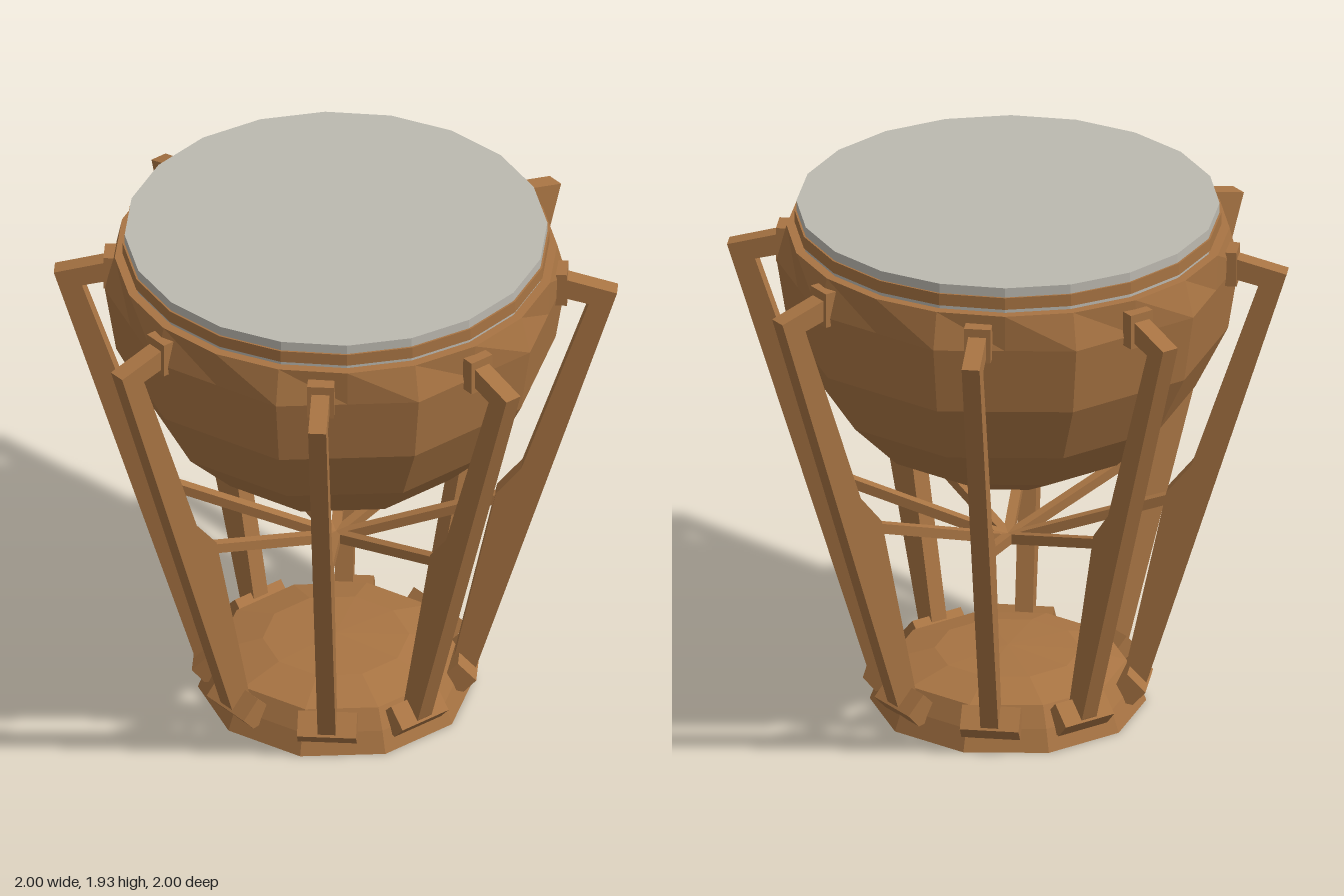
import * as THREE from 'three';

const wood = new THREE.MeshStandardMaterial({ color: 0xa87443, flatShading: true });
wood.name = 'wood';
const skin = new THREE.MeshStandardMaterial({ color: 0xbcb9b0, flatShading: true });
skin.name = 'drum skin';

const pts = (list) => list.map(([x, y]) => new THREE.Vector2(x, y));

function part(name, geometry, material = wood) {
  const mesh = new THREE.Mesh(geometry, material);
  mesh.name = name;
  return mesh;
}

// Ten-sided turned form with a corner on the x axis
function turned(profile) {
  return new THREE.LatheGeometry(pts(profile), 10).rotateY(Math.PI / 2);
}

// Outline in the radial (x, y) plane, given an even thickness in z
function slab(outline, width) {
  const g = new THREE.ExtrudeGeometry(new THREE.Shape(pts(outline)), { depth: width, bevelEnabled: false });
  return g.translate(0, 0, -width / 2);
}

// Faceted hemisphere
function bowlGeometry() {
  const profile = [];
  for (let i = 0; i <= 5; i++) {
    const a = (i * Math.PI) / 10;
    profile.push([0.82 * Math.sin(a), 1.7 - 0.82 * Math.cos(a)]);
  }
  return turned(profile);
}

// Collar that blends the ten-sided bowl into the twenty-sided rim
function collarGeometry() {
  const profile = pts([[0.82, 1.7], [0.785, 1.835], [0.73, 1.835]]);
  const g = new THREE.LatheGeometry(profile, 20);
  const p = g.attributes.position;
  const k = Math.cos(Math.PI / 10);
  for (let i = 0; i <= 20; i += 2) {
    const v = i * profile.length;
    p.setX(v, p.getX(v) * k);
    p.setZ(v, p.getZ(v) * k);
  }
  g.computeVertexNormals();
  return g;
}

export function createModel() {
  const model = new THREE.Group();
  model.name = 'kettledrum';

  // Drum body
  model.add(part('bowl', bowlGeometry()));
  model.add(part('collar', collarGeometry()));
  model.add(part('drumhead', new THREE.CylinderGeometry(0.75, 0.75, 0.1, 20).translate(0, 1.88, 0), skin));
  model.add(part('hoop', new THREE.CylinderGeometry(0.757, 0.757, 0.045, 20).translate(0, 1.872, 0)));

  // Hollow domed base
  model.add(part('base', turned([
    [0, 0.17], [0.25, 0.155], [0.36, 0.11], [0.38, 0], [0.49, 0],
    [0.46, 0.08], [0.42, 0.155], [0.26, 0.198], [0, 0.212],
  ])));

  // Shared geometry of one support
  const legGeo = slab([
    [0.78, 1.70], [0.90, 1.67], [0.66, 0.96], [0.57, 0.85], [0.42, 0.14],
    [0.49, 0.09], [0.50, 0.11], [1.0, 1.72], [0.78, 1.78],
  ], 0.064);
  const clampGeo = new THREE.BoxGeometry(0.09, 0.13, 0.095).translate(0.778, 1.735, 0);
  const footGeo = slab([[0.345, 0.07], [0.46, 0.05], [0.505, 0.10], [0.44, 0.168]], 0.21);
  const from = new THREE.Vector2(0, 0.625);
  const to = new THREE.Vector2(0.6, 0.825);
  const strutGeo = new THREE.BoxGeometry(from.distanceTo(to), 0.036, 0.036)
    .rotateZ(Math.atan2(to.y - from.y, to.x))
    .translate(to.x / 2, (from.y + to.y) / 2, 0);

  // Eight supports; the diagonal ones sit slightly off 45 degrees
  for (let i = 0; i < 8; i++) {
    const degrees = Math.floor(i / 2) * 90 + (i % 2 ? 42.8 : 0);
    const support = new THREE.Group();
    support.name = 'support' + (i + 1);
    support.add(
      part('leg', legGeo),
      part('clamp', clampGeo),
      part('foot', footGeo),
      part('strut', strutGeo),
    );
    support.rotation.y = -THREE.MathUtils.degToRad(degrees);
    model.add(support);
  }
  return model;
}
